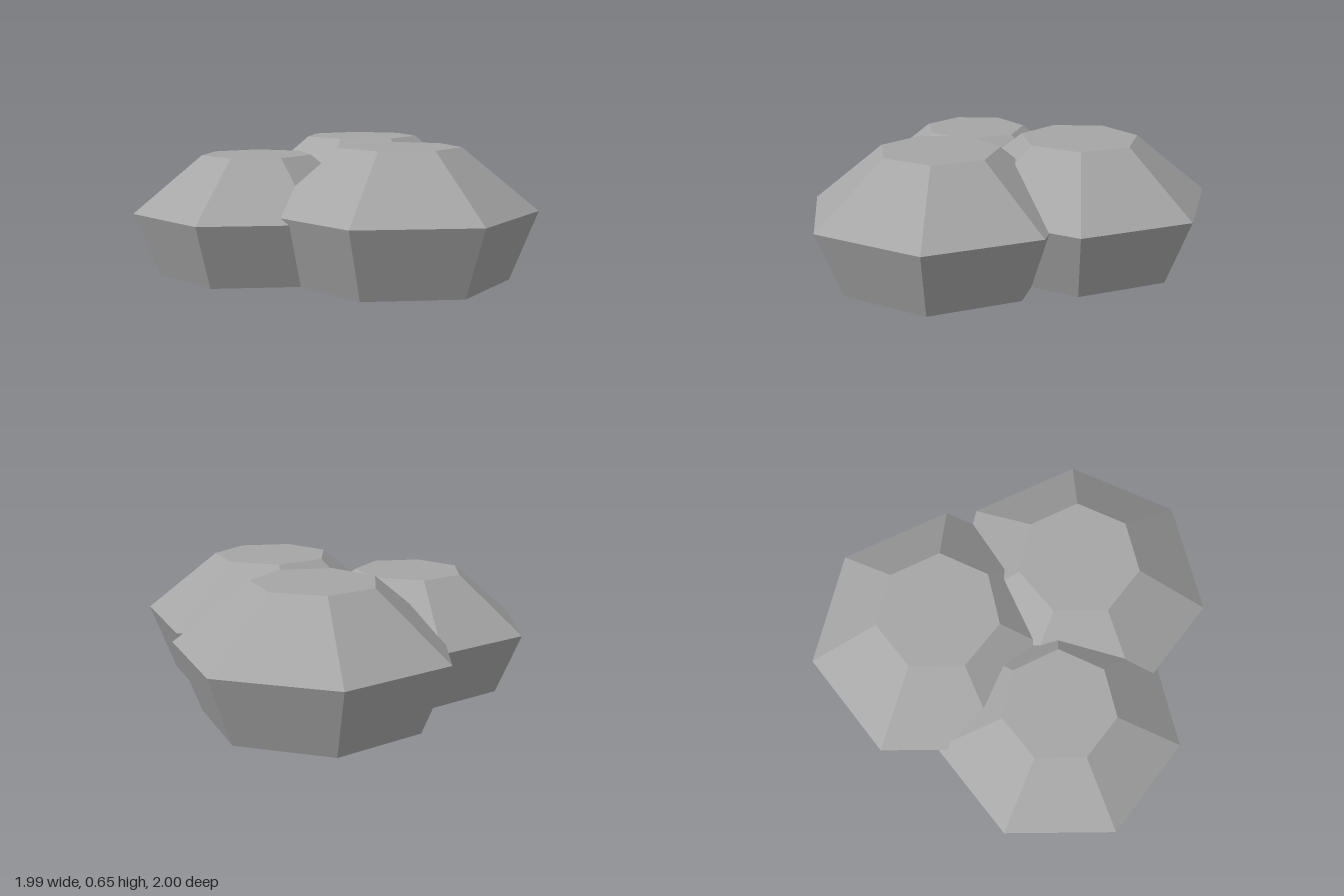
import * as THREE from 'three';

const stoneGrey = new THREE.MeshStandardMaterial({ color: 0xa6a6a6, flatShading: true });
stoneGrey.name = 'stoneGrey';

// Seven-sided boulder: narrow foot, wide shoulder, flat crown, one corner facing the back
function boulder(name, x, z, scale) {
  const profile = [
    [0, 0], [0.55, 0], [0.685, 0.344], [0.308, 0.651], [0, 0.651],
  ].map(([r, y]) => new THREE.Vector2(r * scale, y * scale));
  const mesh = new THREE.Mesh(new THREE.LatheGeometry(profile, 7, Math.PI), stoneGrey);
  mesh.name = name;
  mesh.position.set(x, 0, z);
  return mesh;
}

export function createModel() {
  const group = new THREE.Group();
  group.name = 'rockCluster';
  group.add(
    boulder('backBoulder', -0.325, -0.31, 1.006),
    boulder('leftBoulder', 0.325, 0.063, 0.998),
    boulder('frontBoulder', -0.322, 0.436, 0.914),
  );
  return group;
}
